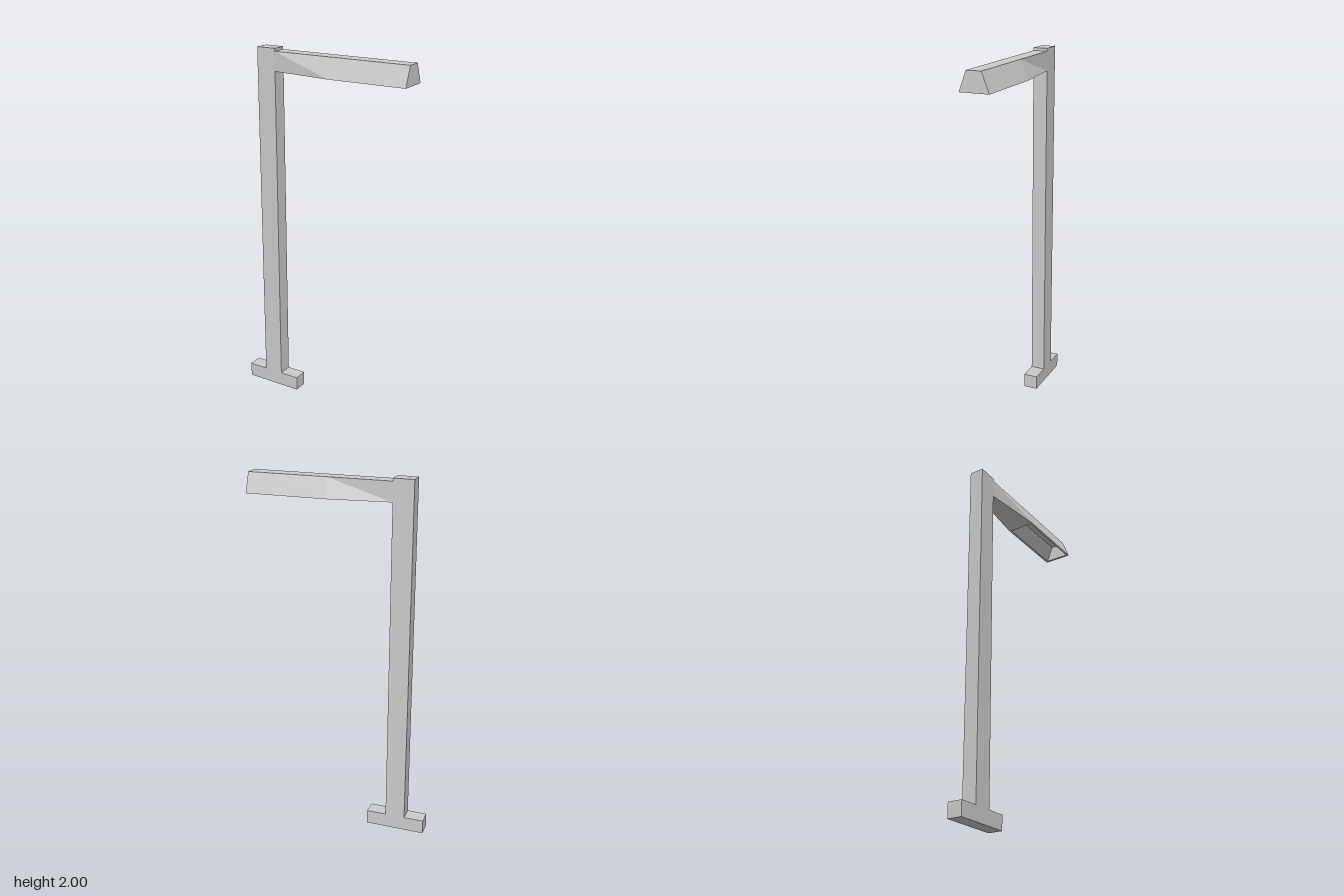
import * as THREE from 'three';

const mat = new THREE.MeshStandardMaterial({ color: 0xcccccc, flatShading: true });

function box(name, x0, x1, y0, y1, z) {
  const mesh = new THREE.Mesh(new THREE.BoxGeometry(x1 - x0, y1 - y0, 2 * z), mat);
  mesh.position.set((x0 + x1) / 2, (y0 + y1) / 2, 0);
  mesh.name = name;
  return mesh;
}

// Trapezoid cross-section at x: bottom half-width w, top half-width t
const section = (x, w, t, yb, yt) => [[x, yb, -w], [x, yt, -t], [x, yt, t], [x, yb, w]];

function lampHeadGeometry() {
  const pos = [];
  const quad = (a, b, c, d) => pos.push(...a, ...b, ...c, ...a, ...c, ...d);
  const loft = (s, e, inward) => {
    for (let i = 0; i < 3; i++) {
      if (inward) quad(s[i], e[i], e[i + 1], s[i + 1]);
      else quad(s[i], s[i + 1], e[i + 1], e[i]);
    }
  };
  const yb = 1.88, yt = 1.985;
  const root = section(-0.28, 0.04, 0.04, yb, yt);
  const mid = section(0.065, 0.08, 0.04, yb, yt);
  const tip = section(0.5, 0.08, 0.04, yb, yt);

  // Outer shell: flaring neck, straight head, end cap
  loft(root, mid);
  loft(mid, tip);
  quad(...tip);
  quad(root[0], mid[0], mid[3], root[3]);

  // Hollow underside, open at the bottom
  const inA = section(0.07, 0.068, 0.032, yb, 1.97);
  const inB = section(0.486, 0.068, 0.032, yb, 1.97);
  loft(inA, inB, true);
  quad(...inA);
  quad(...inB.slice().reverse());

  // Rim around the opening
  const outer = [mid[0], tip[0], tip[3], mid[3]];
  const inner = [inA[0], inB[0], inB[3], inA[3]];
  for (let i = 0; i < 4; i++) {
    const j = (i + 1) % 4;
    quad(outer[i], outer[j], inner[j], inner[i]);
  }

  const geo = new THREE.BufferGeometry();
  geo.setAttribute('position', new THREE.Float32BufferAttribute(pos, 3));
  geo.computeVertexNormals();
  return geo;
}

export function createModel() {
  const group = new THREE.Group();
  group.name = 'streetLamp';
  const head = new THREE.Mesh(lampHeadGeometry(), mat);
  head.name = 'lampHead';
  group.add(
    box('base', -0.5, -0.17, 0, 0.08, 0.04),
    box('post', -0.39, -0.28, 0.08, 2, 0.04),
    head
  );
  return group;
}
